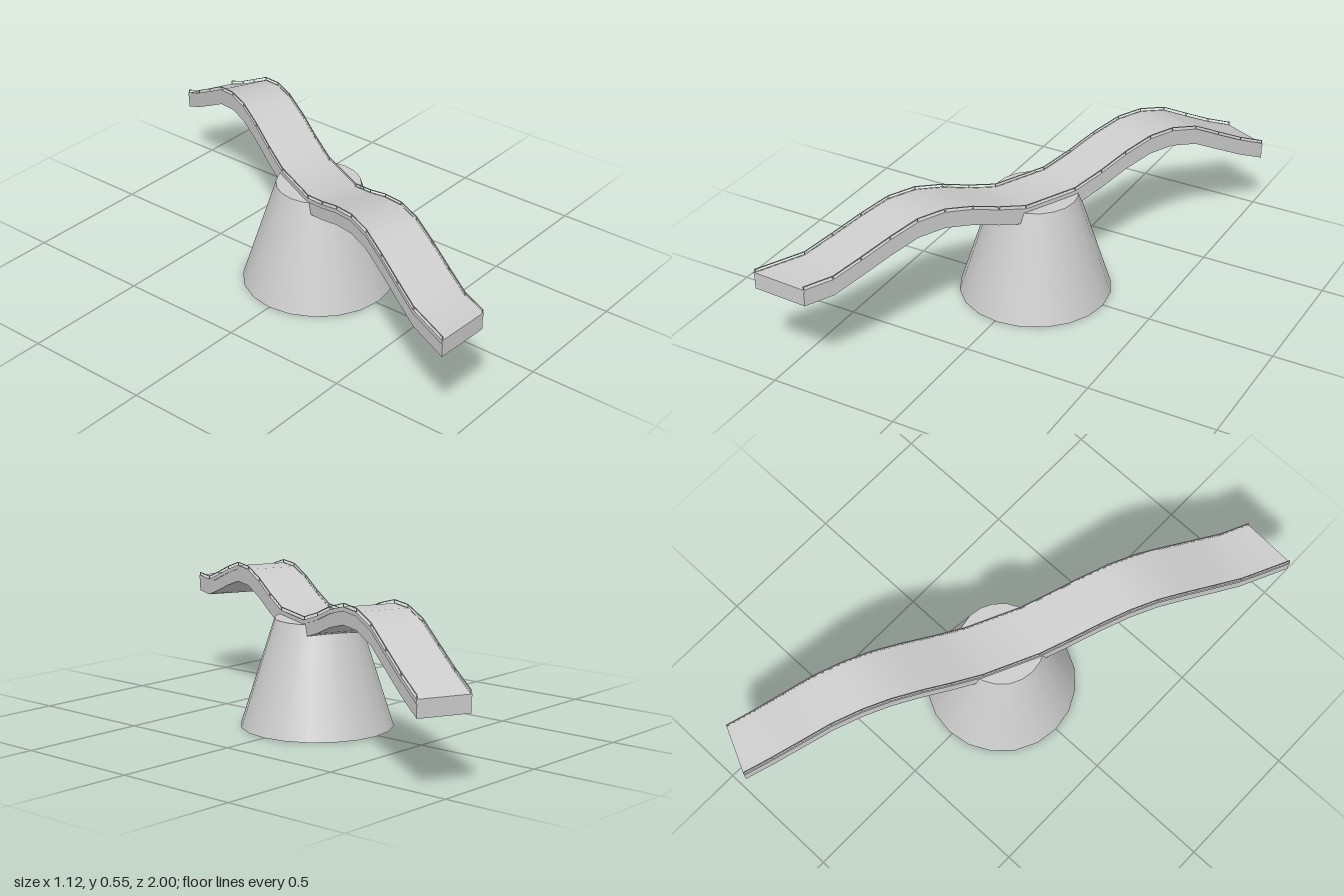
import * as THREE from 'three';
import { toCreasedNormals } from 'three/addons/utils/BufferGeometryUtils.js';

// Walkway stations: distance along the bridge, height of the deck top
const STATIONS = [
  [-1.06, 0.33], [-0.94, 0.383], [-0.82, 0.445], [-0.7, 0.508], [-0.58, 0.538], [-0.47, 0.538],
  [-0.35, 0.508], [-0.235, 0.466], [-0.11, 0.43], [0.115, 0.43], [0.235, 0.466], [0.35, 0.508],
  [0.47, 0.538], [0.585, 0.538], [0.7, 0.506], [0.82, 0.466], [0.935, 0.43], [1.094, 0.43],
];
const LAST = STATIONS.length - 1;
const HALF = 0.1;

// The front end of the walkway is cut at a slant
const stationZ = (i, x) => STATIONS[i][0] - (i === LAST ? 0.41 * x : 0);

// Rectangular section swept along the stations; y is relative to the deck top
function sweep(x0, x1, y0, y1) {
  const geo = new THREE.BoxGeometry(1, 1, 1, 1, 1, LAST);
  const p = geo.attributes.position;
  for (let k = 0; k < p.count; k++) {
    const i = Math.round((p.getZ(k) + 0.5) * LAST);
    const x = p.getX(k) < 0 ? x0 : x1;
    const y = p.getY(k) < 0 ? y0 : y1;
    p.setXYZ(k, x, STATIONS[i][1] + y, stationZ(i, x));
  }
  return toCreasedNormals(geo, 0.6);
}

export function createModel() {
  const model = new THREE.Group();
  model.name = 'footbridge';
  const material = new THREE.MeshStandardMaterial({ color: 0xcccccc });
  const add = (parent, name, geo) => {
    const mesh = new THREE.Mesh(geo, material);
    mesh.name = name;
    parent.add(mesh);
    return mesh;
  };

  // Tapered central pier
  const pier = add(model, 'pier', new THREE.CylinderGeometry(0.162, 0.294, 0.415, 20));
  pier.position.set(0.012, 0.2075, 0);

  // Undulating walkway, turned diagonally over the pier
  const walkway = new THREE.Group();
  walkway.name = 'walkway';
  walkway.position.x = 0.012;
  walkway.rotation.y = -0.438;
  model.add(walkway);
  add(walkway, 'deck', sweep(-HALF, HALF, -0.065, 0));

  for (const side of [-1, 1]) {
    const name = side > 0 ? 'left' : 'right';
    const strip = (inner, outer, y0, y1) =>
      sweep(Math.min(side * inner, side * outer), Math.max(side * inner, side * outer), y0, y1);
    // Edge trim and handrail
    add(walkway, name + 'EdgeTrim', strip(HALF - 0.003, HALF + 0.002, -0.015, 0.001));
    add(walkway, name + 'Handrail', strip(HALF - 0.003, HALF, 0.011, 0.014));
    // Posts at every bend
    STATIONS.forEach(([, y], i) => {
      const x = side * (HALF - 0.0015);
      const inset = i === 0 ? 0.002 : i === LAST ? -0.002 : 0;
      const post = add(walkway, name + 'Post', new THREE.BoxGeometry(0.003, 0.014, 0.003));
      post.position.set(x, y + 0.006, stationZ(i, x) + inset);
    });
  }
  return model;
}
